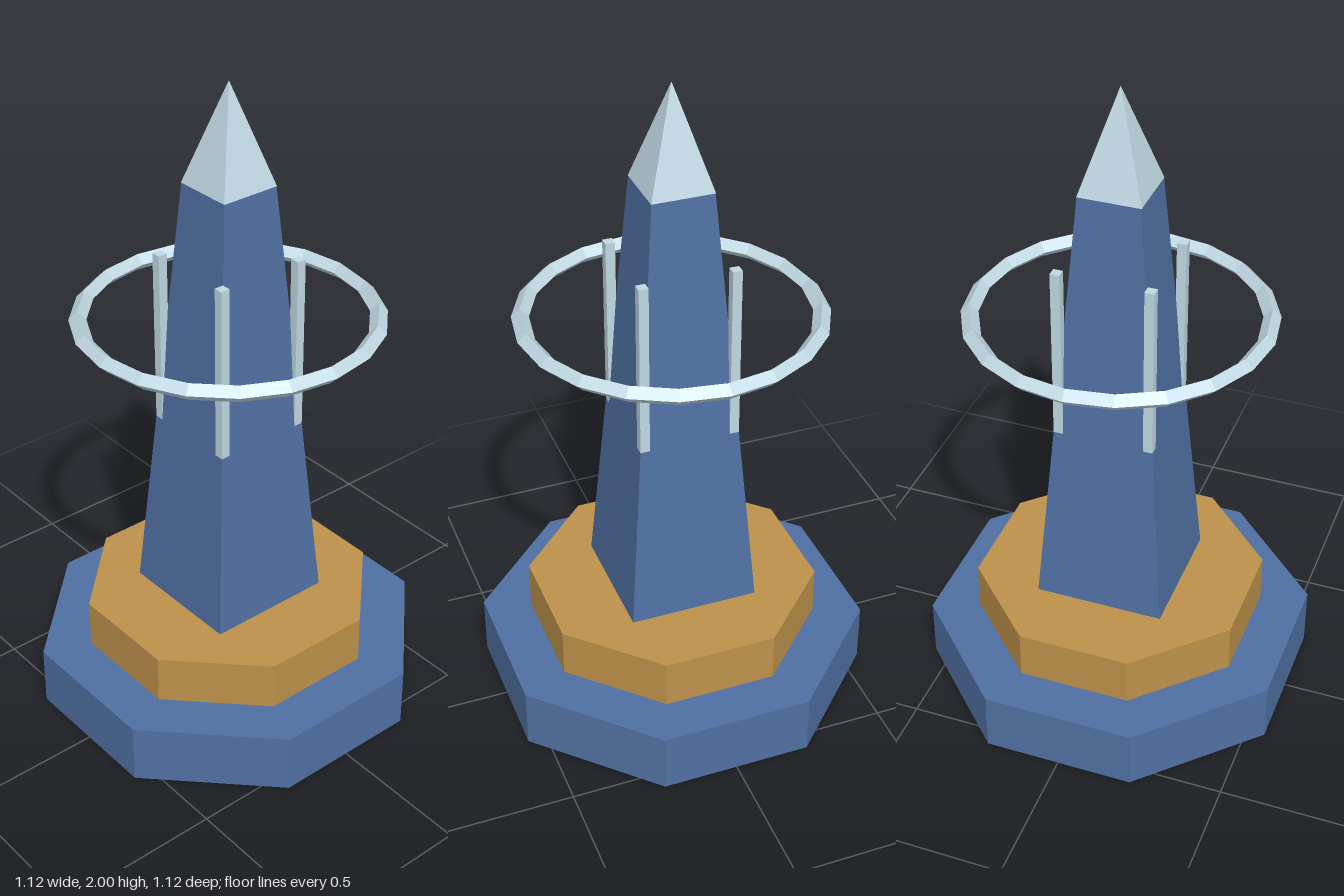
import * as THREE from 'three';

const blue = new THREE.MeshStandardMaterial({ color: 0x5070a2 });
blue.name = 'slate blue';
const gold = new THREE.MeshStandardMaterial({ color: 0xbd914b });
gold.name = 'ochre gold';
const silver = new THREE.MeshStandardMaterial({ color: 0xc0d8e3 });
silver.name = 'pale silver';
for (const m of [blue, gold, silver]) m.flatShading = true;

// Regular prism or frustum with flat sides facing the axes, sized by apothem
function prism(name, sides, bottom, top, y0, y1, material) {
  const k = 1 / Math.cos(Math.PI / sides);
  const geo = new THREE.CylinderGeometry(top * k, bottom * k, y1 - y0, sides);
  geo.rotateY(Math.PI / sides);
  geo.translate(0, (y0 + y1) / 2, 0);
  const mesh = new THREE.Mesh(geo, material);
  mesh.name = name;
  return mesh;
}

export function createModel() {
  const model = new THREE.Group();
  model.name = 'obelisk';

  // Stepped octagonal plinth, tapering square shaft and pyramid tip
  model.add(
    prism('base', 8, 0.558, 0.558, 0, 0.19, blue),
    prism('upperStep', 8, 0.417, 0.417, 0.19, 0.343, gold),
    prism('shaft', 4, 0.2, 0.093, 0.343, 1.7, blue),
    prism('tip', 4, 0.094, 0, 1.697, 2, silver),
  );

  // Floating ring with a diamond section
  const ringGeo = new THREE.TorusGeometry(0.434, 0.026, 4, 20);
  ringGeo.rotateX(Math.PI / 2);
  const ring = new THREE.Mesh(ringGeo, silver);
  ring.name = 'ring';
  ring.position.y = 1.286;
  model.add(ring);

  // Corner rods
  const rodGeo = new THREE.BoxGeometry(0.029, 0.545, 0.029);
  for (const x of [-1, 1]) {
    for (const z of [-1, 1]) {
      const rod = new THREE.Mesh(rodGeo, silver);
      rod.name = 'cornerRod';
      rod.position.set(x * 0.139, 1.203, z * 0.139);
      model.add(rod);
    }
  }
  return model;
}
